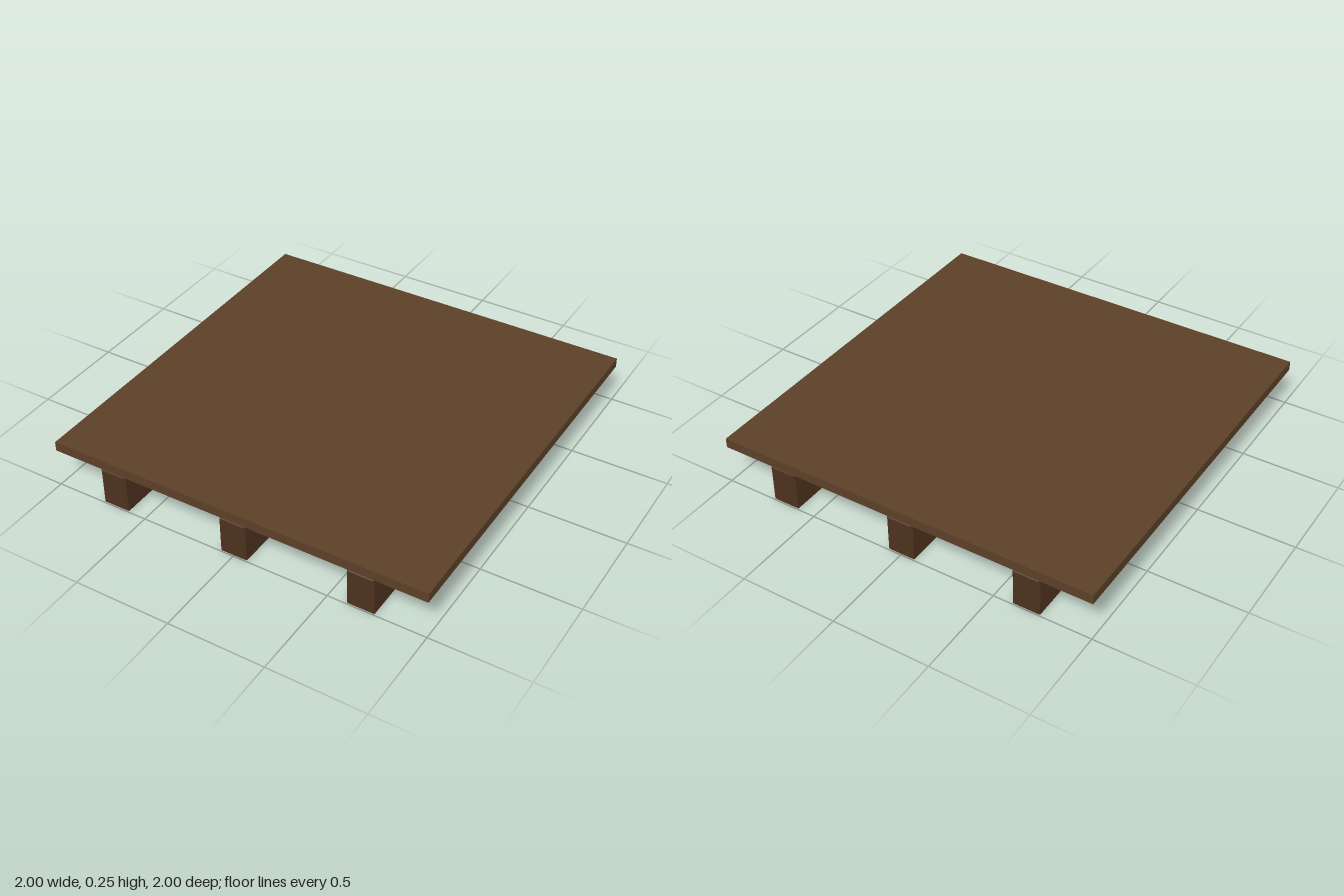
import * as THREE from 'three';

// Square-ended bar with small chamfers along its four long edges and its ends
function chamferedBar(width, height, length, bevel) {
  const x = width / 2 - bevel, y = height / 2 - bevel;
  const shape = new THREE.Shape([
    new THREE.Vector2(-x, -y), new THREE.Vector2(x, -y),
    new THREE.Vector2(x, y), new THREE.Vector2(-x, y),
  ]);
  const geometry = new THREE.ExtrudeGeometry(shape, {
    depth: length - 2 * bevel, bevelEnabled: true,
    bevelSize: bevel, bevelThickness: bevel, bevelSegments: 1,
  });
  return geometry.translate(0, 0, bevel - length / 2);
}

export function createModel() {
  const model = new THREE.Group();
  model.name = 'woodenPlatform';
  const deckWood = new THREE.MeshStandardMaterial({ color: 0x5c4028, flatShading: true });
  const beamWood = new THREE.MeshStandardMaterial({ color: 0x4e321e, flatShading: true });

  // Flat square deck
  const deck = new THREE.Mesh(new THREE.BoxGeometry(2, 0.05, 2), deckWood);
  deck.name = 'deck';
  deck.position.y = 0.23;
  model.add(deck);

  // Three bearers running front to back
  const beamGeometry = chamferedBar(0.14, 0.205, 2, 0.008);
  [['rightBeam', -0.667], ['middleBeam', 0], ['leftBeam', 0.667]].forEach(([name, x]) => {
    const beam = new THREE.Mesh(beamGeometry, beamWood);
    beam.name = name;
    beam.position.set(x, 0.1025, 0);
    model.add(beam);
  });

  return model;
}
